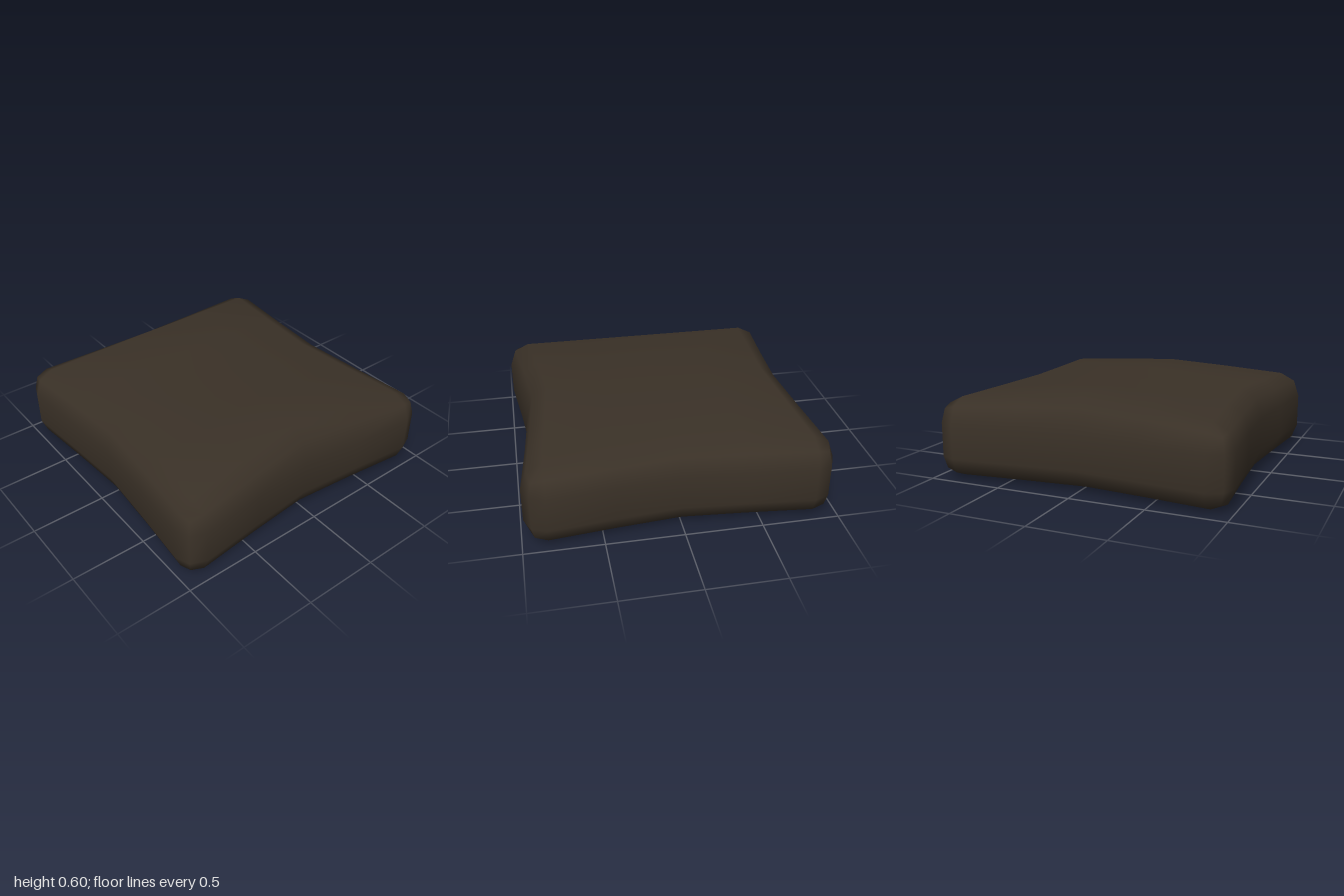
import * as THREE from 'three';
import { mergeVertices } from 'three/addons/utils/BufferGeometryUtils.js';

// Grid lines of the block along each axis, and the edge radius
const X = [-0.98, -0.84, -0.42, 0, 0.42, 0.84, 0.98];
const Y = [0.005, 0.145, 0.37, 0.51];
const Z = [-1, -0.85, -0.42, 0, 0.42, 0.85, 1];
const R = 0.14;

function cushionGeometry() {
  let geo = new THREE.BoxGeometry(6, 3, 6, 6, 3, 6);
  geo.deleteAttribute('uv');
  geo.deleteAttribute('normal');
  geo = mergeVertices(geo);
  const pos = geo.attributes.position;
  const p = new THREE.Vector3(), core = new THREE.Vector3();
  const clamp = THREE.MathUtils.clamp;

  for (let i = 0; i < pos.count; i++) {
    p.set(
      X[Math.round(pos.getX(i) + 3)],
      Y[Math.round(pos.getY(i) + 1.5)],
      Z[Math.round(pos.getZ(i) + 3)]
    );
    // Round the edges and corners
    core.set(clamp(p.x, X[1], X[5]), clamp(p.y, Y[1], Y[2]), clamp(p.z, Z[1], Z[5]));
    p.sub(core).setLength(R).add(core);

    // 1 on the centre lines, 0 at the corners
    const u = Math.abs(core.x) / 0.84, v = Math.abs(core.z) / 0.85;
    const a = Math.pow(1 - u, 0.85), b = Math.pow(1 - v, 0.85);

    // Crown the top
    if (p.y > Y[2]) {
      const ridge = p.z > 0 ? 0.03 : 0.01;
      const top = 0.535 + ridge * a + 0.065 * b - (ridge + 0.01) * a * b;
      p.y = Y[2] + (p.y - Y[2]) / R * (top - Y[2]);
    }
    // Draw in the middle of all four sides
    p.x -= Math.sign(p.x) * 0.085 * b * u;
    p.z -= Math.sign(p.z) * (p.z > 0 ? 0.067 : 0.078) * a * v;
    pos.setXYZ(i, p.x, p.y, p.z);
  }
  geo.computeVertexNormals();
  return geo;
}

export function createModel() {
  const group = new THREE.Group();
  group.name = 'seatCushion';
  const cushion = new THREE.Mesh(
    cushionGeometry(),
    new THREE.MeshStandardMaterial({ color: 0x3a3127 })
  );
  cushion.name = 'cushion';
  group.add(cushion);
  return group;
}
